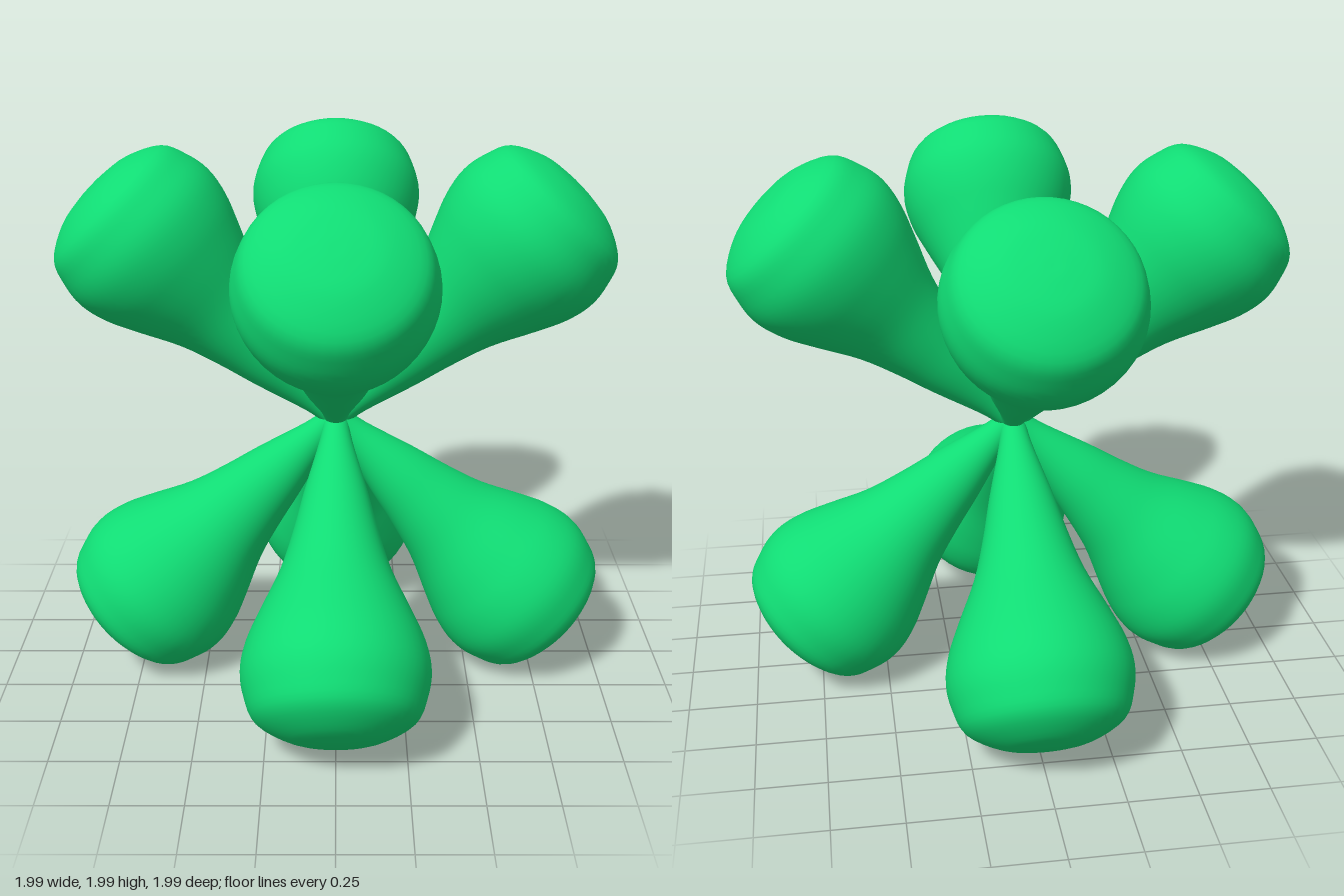
import * as THREE from 'three';

// Half profile of one lobe: [radius, distance from the centre]
const PROFILE = [
  [0.045, 0], [0.06, 0.1], [0.115, 0.3], [0.152, 0.45], [0.197, 0.6], [0.265, 0.75],
  [0.311, 0.86], [0.33, 0.96], [0.315, 1.05], [0.275, 1.135], [0.165, 1.195],
  [0.06, 1.213], [0, 1.215],
];

export function createModel() {
  const model = new THREE.Group();
  model.name = 'lobeCluster';

  const material = new THREE.MeshStandardMaterial({ color: 0x10dc74 });
  const curve = new THREE.SplineCurve(PROFILE.map(([r, u]) => new THREE.Vector2(r, u)));
  const points = curve.getPoints(48);
  points.forEach((p) => { p.x = Math.max(p.x, 0); });
  const geometry = new THREE.LatheGeometry(points, 48);

  // Four lobes tilted up and four tilted down, all meeting at the middle
  const up = new THREE.Vector3(0, 1, 0);
  const sides = { left: [1, 0], right: [-1, 0], front: [0, 1], back: [0, -1] };
  for (const [level, y] of [['upper', 1], ['lower', -1]]) {
    for (const [side, [x, z]] of Object.entries(sides)) {
      const lobe = new THREE.Mesh(geometry, material);
      lobe.name = `${level} ${side} lobe`;
      lobe.position.y = 1;
      lobe.quaternion.setFromUnitVectors(up, new THREE.Vector3(x, y, z).normalize());
      model.add(lobe);
    }
  }
  return model;
}
